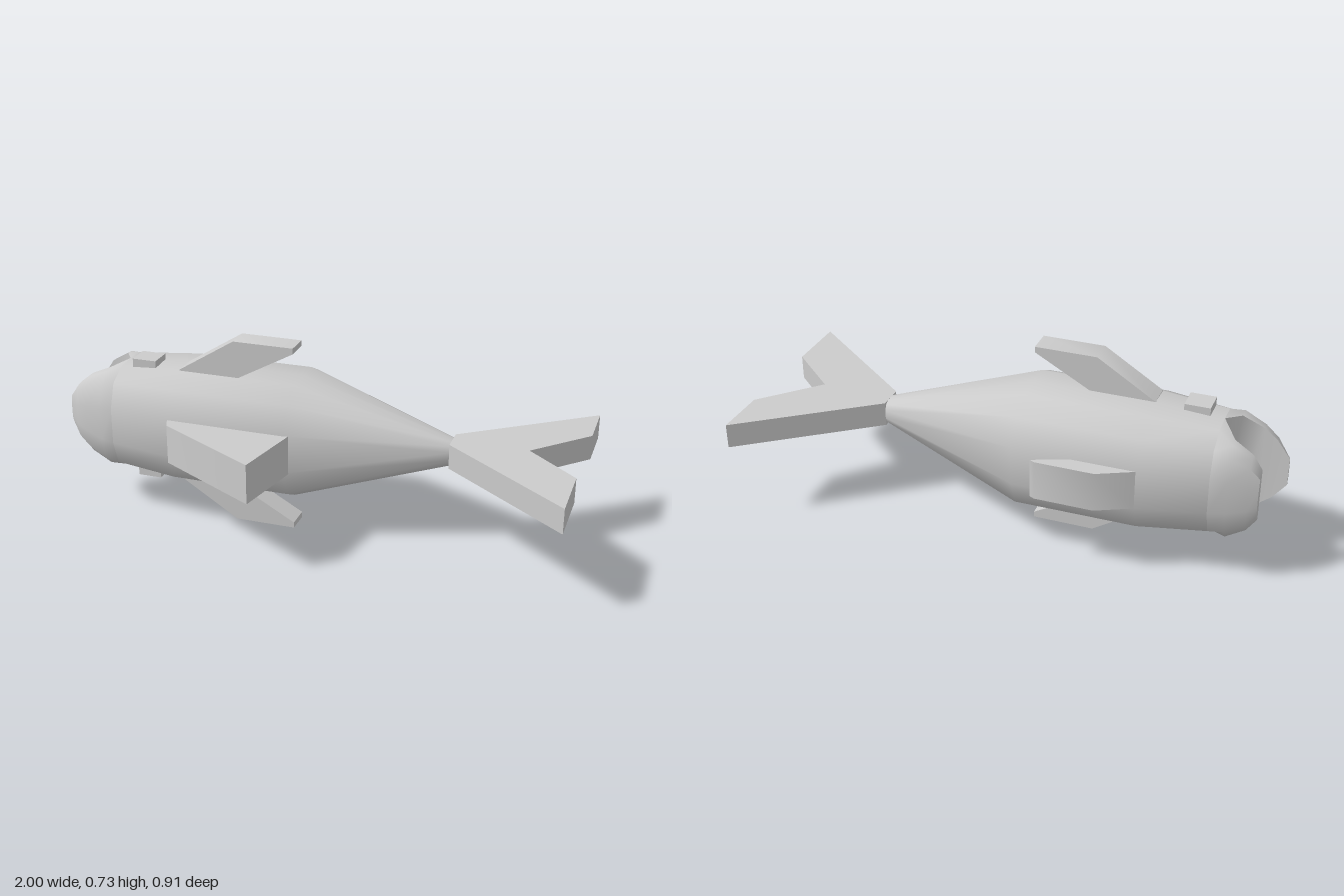
import * as THREE from 'three';
import { toCreasedNormals } from 'three/addons/utils/BufferGeometryUtils.js';

const MID = 0.367; // height of the body's axis (the fish lies on its side)
const material = new THREE.MeshStandardMaterial({ color: 0xcccccc });

// Half of the faceted body section, as [z, y] from top to bottom
const HALF = [[0, 1], [0.43, 0.98], [0.82, 0.78], [1, 0.33], [1, -0.33], [0.82, -0.78], [0.43, -0.98], [0, -1]];

function addMesh(group, name, geometry, crease = 0.8) {
  const mesh = new THREE.Mesh(toCreasedNormals(geometry, crease), material);
  mesh.name = name;
  group.add(mesh);
}

// Skin closed rings of points, ordered from +y towards +z, and cap both ends
function loft(rings) {
  const n = rings[0].length, pos = [], index = [];
  rings.forEach(ring => ring.forEach(p => pos.push(...p)));
  for (let i = 0; i < rings.length - 1; i++) {
    for (let j = 0; j < n; j++) {
      const a = i * n + j, b = i * n + (j + 1) % n;
      index.push(a, b, a + n, b, b + n, a + n);
    }
  }
  const last = (rings.length - 1) * n;
  for (let j = 1; j < n - 1; j++) {
    index.push(0, j + 1, j);
    index.push(last, last + j, last + j + 1);
  }
  const g = new THREE.BufferGeometry();
  g.setAttribute('position', new THREE.Float32BufferAttribute(pos, 3));
  g.setIndex(index);
  return g;
}

// Full section: half height h, z from belly to back
function bodyRing([x, h, belly, back]) {
  const c = (belly + back) / 2, r = (back - belly) / 2;
  const other = HALF.slice(1, -1).reverse().map(([z, y]) => [-z, y]);
  return [...HALF, ...other].map(([z, y]) => [x, MID + y * h, c + z * r]);
}

// D-shaped section: flat at the mouth side, round outside
function jawRing([x, h, inner, outer]) {
  const ring = HALF.map(([z, y]) => [x, MID + y * h, inner + z * (outer - inner)]);
  return outer < inner ? ring.reverse() : ring;
}

// Plate drawn in x and z, thick in y
function flatFin(points, bottom, top) {
  const shape = new THREE.Shape(points.map(p => new THREE.Vector2(...p)));
  return new THREE.ExtrudeGeometry(shape, { depth: top - bottom, bevelEnabled: false })
    .rotateX(Math.PI / 2).translate(0, top, 0);
}

export function createModel() {
  const fish = new THREE.Group();
  fish.name = 'fish';

  // Body: x, half height, belly z, back z
  addMesh(fish, 'body', loft([
    [-0.77, 0.212, -0.23, 0.147],
    [-0.52, 0.229, -0.277, 0.183],
    [-0.06, 0.229, -0.28, 0.183],
    [0.52, 0.048, -0.1, 0.0],
  ].map(bodyRing)), 1.1);

  // Jaws around the open mouth: x, half height, inner z, outer z
  addMesh(fish, 'upperJaw', loft([
    [-1, 0.055, 0.027, 0.037],
    [-0.95, 0.12, 0.03, 0.085],
    [-0.9, 0.16, 0.03, 0.108],
    [-0.82, 0.195, 0.028, 0.14],
    [-0.77, 0.212, -0.042, 0.147],
  ].map(jawRing)), 1.1);
  addMesh(fish, 'lowerJaw', loft([
    [-0.935, 0.1, -0.152, -0.188],
    [-0.9, 0.15, -0.147, -0.2],
    [-0.83, 0.192, -0.14, -0.22],
    [-0.77, 0.212, -0.042, -0.23],
  ].map(jawRing)), 1.1);

  // Fins on the back, belly and tail
  addMesh(fish, 'backFin', flatFin([[-0.52, 0.12], [-0.52, 0.18], [-0.5, 0.23], [-0.095, 0.455], [-0.04, 0.18], [-0.04, 0.12]], 0.29, 0.442));
  addMesh(fish, 'bellyFin', flatFin([[-0.52, -0.22], [-0.52, -0.277], [-0.39, -0.34], [-0.17, -0.34], [-0.15, -0.33], [-0.29, -0.277], [-0.29, -0.22]], 0.29, 0.442));
  addMesh(fish, 'tailFin', flatFin([[0.52, -0.1], [1, -0.455], [1, -0.25], [0.805, -0.045], [1, 0.13], [1, 0.375], [0.52, 0]], 0.32, 0.415));

  // Paired side fins and eyes, mirrored about the body's axis
  for (const [side, label] of [[1, 'Upper'], [-1, 'Lower']]) {
    const outline = [[-0.52, 0.18], [-0.52, 0.229], [-0.3, 0.367], [-0.065, 0.367], [-0.065, 0.345], [-0.28, 0.226], [-0.28, 0.18]];
    const shape = new THREE.Shape(outline.map(([x, y]) => new THREE.Vector2(x, MID + side * y)));
    const fin = new THREE.ExtrudeGeometry(shape, { depth: 0.095, bevelEnabled: false });
    addMesh(fish, 'sideFin' + label, fin.translate(0, 0, -0.045));

    const eye = new THREE.BoxGeometry(0.095, 0.07, 0.09);
    addMesh(fish, 'eye' + label, eye.translate(-0.672, MID + side * 0.21, -0.005));
  }
  return fish;
}
